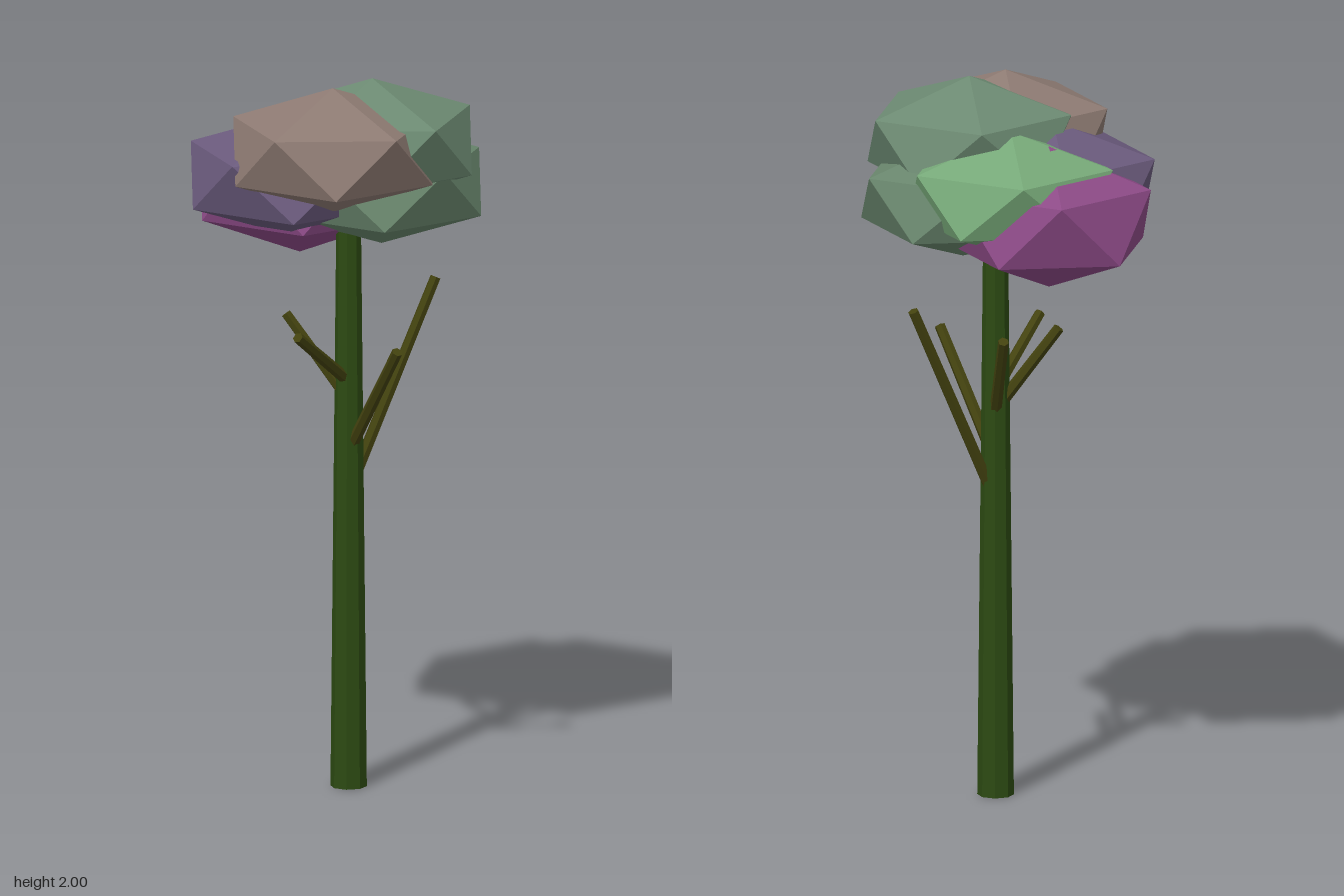
import * as THREE from 'three';

const material = (color) => new THREE.MeshStandardMaterial({ color, flatShading: true });

// Tapered round limb running between two points
function limb(name, from, to, r0, r1, sides, mat) {
  const a = new THREE.Vector3(...from);
  const b = new THREE.Vector3(...to);
  const dir = b.clone().sub(a);
  const mesh = new THREE.Mesh(new THREE.CylinderGeometry(r1, r0, dir.length(), sides), mat);
  mesh.position.copy(a).add(b).multiplyScalar(0.5);
  mesh.quaternion.setFromUnitVectors(new THREE.Vector3(0, 1, 0), dir.normalize());
  mesh.name = name;
  return mesh;
}

// Flattened icosahedron standing on a corner, with an upper ring corner at +x
function leafClump([x, y, z], halfHeight, color) {
  const geo = new THREE.IcosahedronGeometry(1, 0);
  geo.rotateZ(Math.atan(2 / (1 + Math.sqrt(5))));
  geo.rotateY(Math.PI);
  geo.scale(0.316, halfHeight, 0.316);
  const mesh = new THREE.Mesh(geo, material(color));
  mesh.position.set(x, y, z);
  mesh.name = 'leafClump';
  return mesh;
}

export function createModel() {
  const tree = new THREE.Group();
  tree.name = 'tree';

  // Trunk
  tree.add(limb('trunk', [0.04, 0, -0.03], [0.04, 1.68, -0.03], 0.05, 0.033, 8, material(0x2c4a12)));

  // Bare branches: base, tip
  const branches = new THREE.Group();
  branches.name = 'branches';
  const bark = material(0x43420f);
  for (const [from, to] of [
    [[0.05, 0.95, -0.03], [0.295, 1.265, 0.0]],
    [[0.045, 0.87, -0.05], [0.085, 1.395, -0.295]],
    [[0.03, 1.08, -0.04], [-0.115, 1.32, -0.145]],
    [[0.045, 1.14, -0.02], [0.11, 1.3, 0.2]],
    [[0.03, 1.1, -0.02], [-0.09, 1.315, 0.085]],
  ]) branches.add(limb('branch', from, to, 0.017, 0.015, 6, bark));
  tree.add(branches);

  // Crown: overlapping leaf clumps
  const crown = new THREE.Group();
  crown.name = 'crown';
  crown.add(
    leafClump([0.15, 1.818, 0.11], 0.175, 0x8d7a72),
    leafClump([0.145, 1.825, -0.03], 0.175, 0x6c8a72),
    leafClump([-0.07, 1.72, -0.075], 0.17, 0x76a878),
    leafClump([-0.158, 1.658, -0.015], 0.197, 0x8c4a86),
    leafClump([-0.045, 1.715, 0.105], 0.17, 0x6a5a7c),
    leafClump([0.09, 1.688, -0.105], 0.17, 0x68856c),
  );
  tree.add(crown);

  return tree;
}
